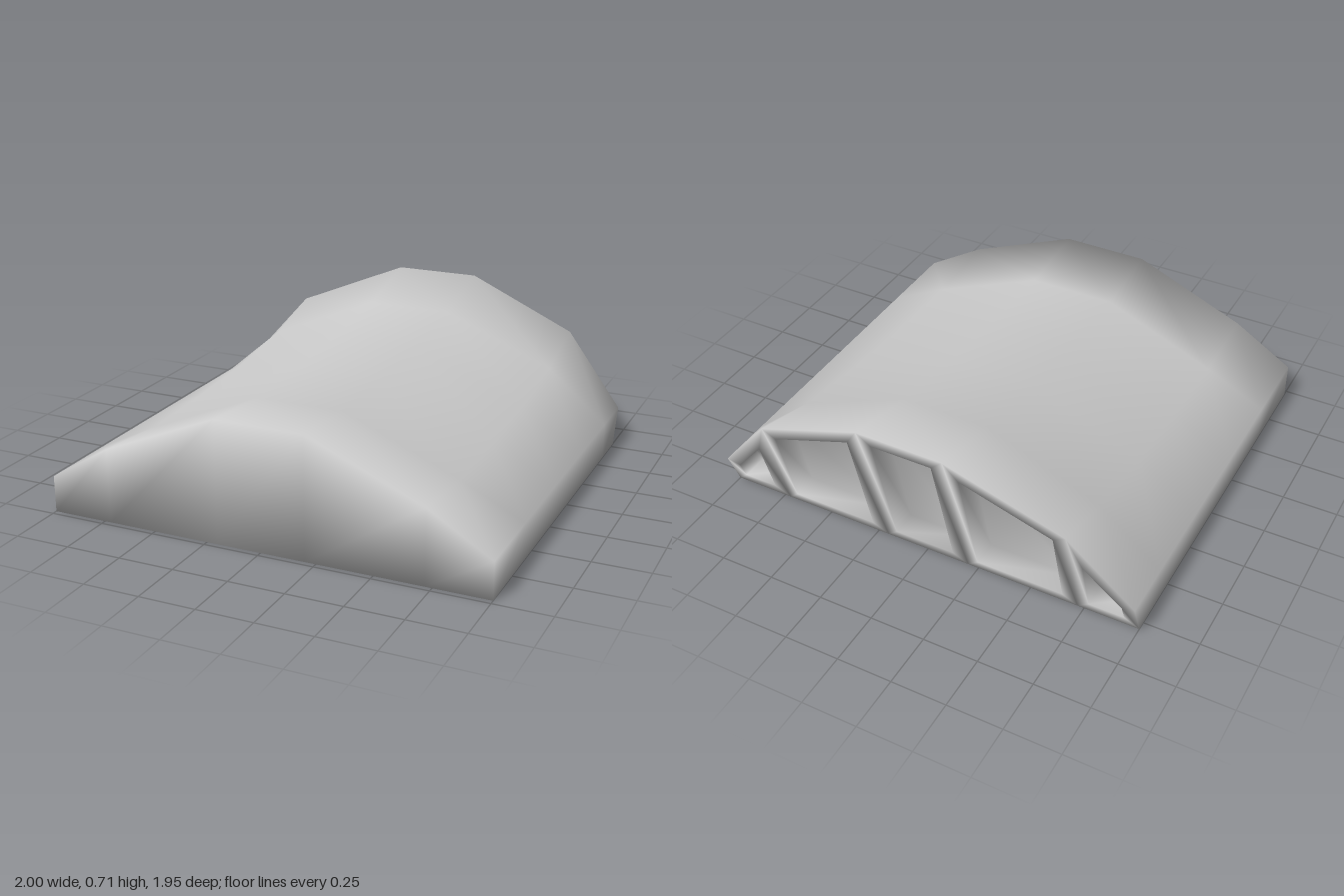
import * as THREE from 'three';
import { mergeVertices } from 'three/addons/utils/BufferGeometryUtils.js';

const XS = [-1, -0.72, -0.2, 0.2, 0.72, 1];
// [z, ridge height] of each cross-section, front to rear
const STATIONS = [[0.975, 0.55], [0.6, 0.52], [0.2, 0.535], [-0.2, 0.565], [-0.6, 0.62], [-0.975, 0.71]];
// [y, z] profile of the sloping rear face
const REAR = [[0, -0.79], [0.165, -0.855], [0.49, -0.925], [0.71, -0.975]];
const FRAME = 0.06, RECESS = 0.12;

function rearZ(y) {
  const i = Math.max(1, REAR.findIndex(p => p[0] >= y - 1e-6));
  const [y0, z0] = REAR[i - 1], [y1, z1] = REAR[i];
  return THREE.MathUtils.mapLinear(y, y0, y1, z0, z1);
}

// Height of the roof outline at each x, shoulders included
function roofY(x, ridge) {
  const a = Math.abs(x);
  return a > 0.9 ? 0.165 : a > 0.5 ? ridge - 0.215 : ridge;
}

export function createModel() {
  const positions = [];
  const tri = (...pts) => pts.forEach(p => positions.push(...p));
  const quad = (a, b, c, d) => { tri(a, b, c); tri(a, c, d); };

  const sections = STATIONS.map(([z, ridge], k) => {
    const point = (x, y) => [x, y, k === STATIONS.length - 1 ? rearZ(y) : z];
    return {
      bottom: XS.map(x => point(x, 0)),
      top: XS.map(x => point(x, roofY(x, ridge))),
    };
  });
  const ring = s => [...s.bottom, ...[...s.top].reverse()];

  // Curved roof, sides and floor
  for (let k = 0; k < sections.length - 1; k++) {
    const f = ring(sections[k]), b = ring(sections[k + 1]);
    f.forEach((p, i) => {
      const n = (i + 1) % f.length;
      quad(p, b[i], b[n], f[n]);
    });
  }

  const front = sections[0], rear = sections[sections.length - 1];
  for (let j = 0; j < XS.length - 1; j++) {
    // Flat front wall
    quad(front.bottom[j], front.bottom[j + 1], front.top[j + 1], front.top[j]);

    // Framed, recessed rear panel
    const outer = [rear.bottom[j], rear.top[j], rear.top[j + 1], rear.bottom[j + 1]];
    const [x0, y0] = rear.top[j], [x1, y1] = rear.top[j + 1];
    const drop = FRAME * Math.hypot(1, (y1 - y0) / (x1 - x0));
    const xa = x0 + FRAME, xb = x1 - FRAME;
    const edgeY = x => THREE.MathUtils.mapLinear(x, x0, x1, y0, y1) - drop;
    const inner = [[xa, FRAME], [xa, edgeY(xa)], [xb, edgeY(xb)], [xb, FRAME]]
      .map(([x, y]) => [x, y, rearZ(y)]);
    const deep = inner.map(([x, y, z]) => [x, y, z + RECESS]);
    for (let i = 0; i < 4; i++) {
      const n = (i + 1) % 4;
      quad(outer[i], outer[n], inner[n], inner[i]);
      quad(inner[i], inner[n], deep[n], deep[i]);
    }
    quad(...deep);
  }

  let geometry = new THREE.BufferGeometry();
  geometry.setAttribute('position', new THREE.Float32BufferAttribute(positions, 3));
  geometry = mergeVertices(geometry, 1e-4);
  geometry.computeVertexNormals();

  const shell = new THREE.Mesh(geometry, new THREE.MeshStandardMaterial({ color: 0xcccccc }));
  shell.name = 'archedShell';
  const group = new THREE.Group();
  group.name = 'archedBlock';
  group.add(shell);
  return group;
}
